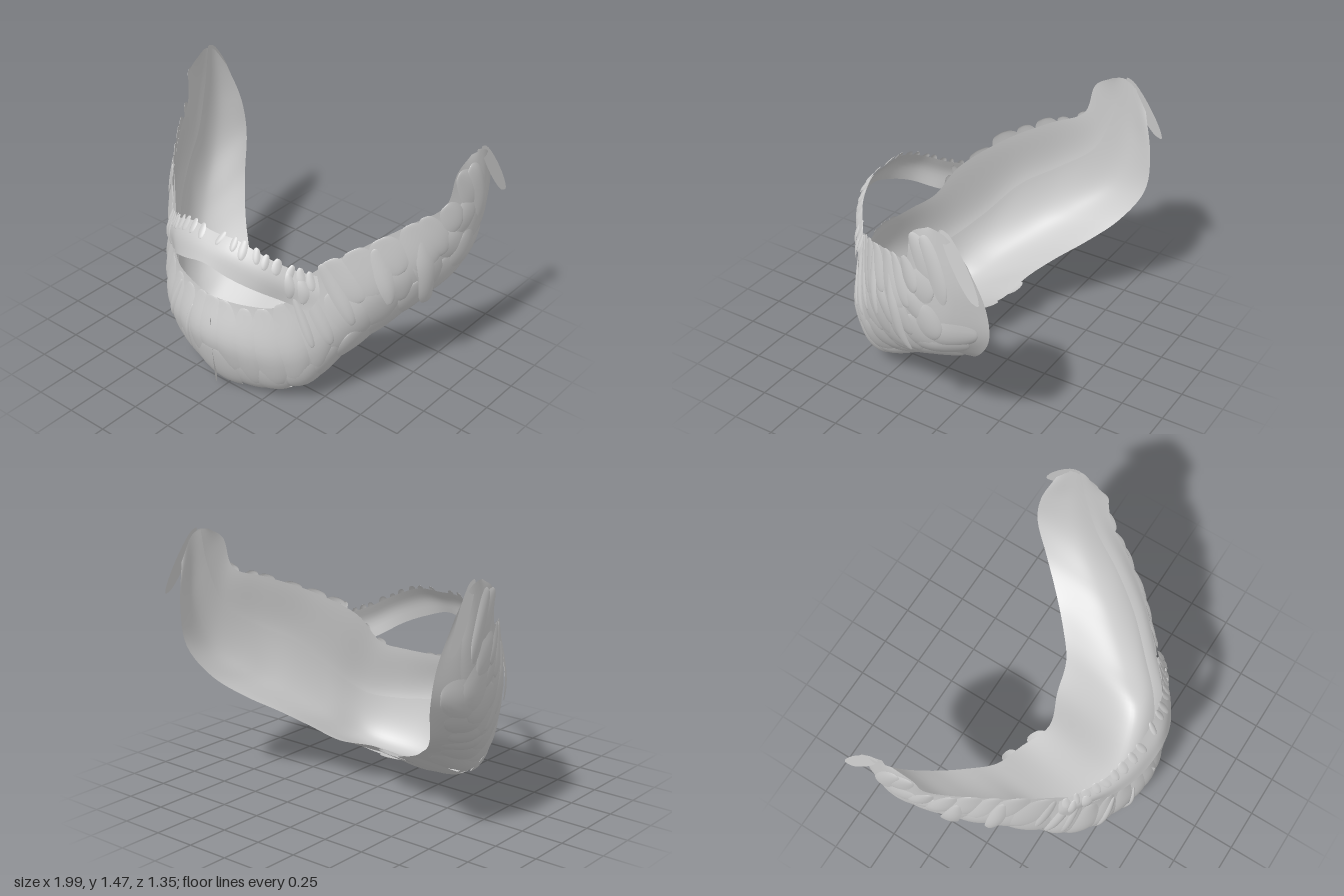
import * as THREE from 'three';

const V = (p) => new THREE.Vector3(...p);
const material = new THREE.MeshStandardMaterial({ color: 0xcccccc, side: THREE.DoubleSide });

let seed = 7;
const rand = (a, b) => {
  seed = (seed * 16807) % 2147483647;
  return a + (b - a) * (seed / 2147483647);
};

// Smooth symmetric surface from cross-sections along the +x half.
// t counts cross-sections (negative on the -x side), s runs from the top edge to the last edge.
function makeSurface(sections) {
  const n = sections.length - 1;
  const rows = sections[0].map((_, r) => {
    const half = sections.map((sec) => V(sec[r]));
    const mirrored = half.slice(1).reverse().map((p) => new THREE.Vector3(-p.x, p.y, p.z));
    return new THREE.CatmullRomCurve3([...mirrored, ...half], false, 'catmullrom', 0.5);
  });
  const point = (t, s) => {
    const u = THREE.MathUtils.clamp((t / n + 1) / 2, 0, 1);
    const cross = new THREE.CatmullRomCurve3(rows.map((c) => c.getPoint(u)), false, 'catmullrom', 0.5);
    const c = THREE.MathUtils.clamp(s, 0, 1);
    const p = cross.getPoint(c);
    if (c === s) return p;
    // continue straight past the edges
    const inner = cross.getPoint(c === 0 ? 0.03 : 0.97);
    return p.clone().addScaledVector(p.clone().sub(inner), Math.abs(s - c) / 0.03);
  };
  const normal = (t, s) => {
    const dt = point(t + 0.03, s).sub(point(t - 0.03, s));
    const ds = point(t, s + 0.02).sub(point(t, s - 0.02));
    return ds.cross(dt).normalize();
  };
  return { n, point, normal };
}

// Grid mesh from a function of a (across) and b (down), both 0..1
function gridMesh(name, na, nb, fn) {
  const pos = [], idx = [];
  for (let j = 0; j <= nb; j++)
    for (let i = 0; i <= na; i++) {
      const p = fn(i / na, j / nb);
      pos.push(p.x, p.y, p.z);
      if (i < na && j < nb) {
        const k = j * (na + 1) + i;
        idx.push(k, k + na + 1, k + 1, k + 1, k + na + 1, k + na + 2);
      }
    }
  const g = new THREE.BufferGeometry();
  g.setAttribute('position', new THREE.Float32BufferAttribute(pos, 3));
  g.setIndex(idx);
  g.computeVertexNormals();
  const m = new THREE.Mesh(g, material);
  m.name = name;
  return m;
}

// Card outline: rows crowd towards the ends so that these come out round
const easeRow = (b) => (1 - Math.cos(Math.PI * b)) / 2;
const cardWidth = (b) => 0.12 + 0.88 * Math.pow(Math.max(0, Math.sin(Math.PI * b)), 0.4);

// Rounded, slightly bulged hair card lying on a surface
function hairCard(name, surf, { t, s0, s1, w, lift = 0.01, slant = 0, flare = 0, bulge = 0.01 }) {
  return gridMesh(name, 6, 16, (a, row) => {
    const b = easeRow(row), round = cardWidth(b), side = a * 2 - 1;
    const tt = t + slant * b + side * w * 0.5 * round;
    const s = s0 + (s1 - s0) * b;
    const h = lift + bulge * (1 - side * side) * round + flare * b * b;
    return surf.point(tt, s).addScaledVector(surf.normal(tt, s), h);
  });
}

// Free hanging card between two points
function hangingCard(name, from, to, across) {
  return gridMesh(name, 4, 14, (a, row) => {
    const b = easeRow(row);
    return V(from).lerp(V(to), b).addScaledVector(V(across), (a - 0.5) * cardWidth(b));
  });
}

// Cross-sections: top edge, cheek, jaw line, neck edge
const beard = makeSurface([
  [[0, 0.65, 0.60], [0, 0.36, 0.64], [0, 0.03, 0.44], [0, 0.26, -0.03]],
  [[0.22, 0.66, 0.56], [0.27, 0.34, 0.575], [0.25, 0.05, 0.39], [0.2, 0.27, -0.1]],
  [[0.38, 0.70, 0.49], [0.47, 0.37, 0.46], [0.43, 0.12, 0.31], [0.38, 0.33, -0.15]],
  [[0.48, 0.88, 0.38], [0.61, 0.52, 0.30], [0.55, 0.28, 0.17], [0.52, 0.42, -0.26]],
  [[0.67, 1.03, 0.18], [0.745, 0.72, 0.12], [0.69, 0.45, 0.0], [0.66, 0.52, -0.40]],
  [[0.82, 1.13, -0.03], [0.865, 0.84, -0.08], [0.81, 0.59, -0.18], [0.78, 0.65, -0.54]],
  [[0.92, 1.20, -0.20], [0.945, 0.99, -0.28], [0.925, 0.79, -0.40], [0.86, 0.84, -0.65]],
  [[0.945, 1.38, -0.25], [0.97, 1.24, -0.38], [0.965, 1.10, -0.50], [0.90, 1.06, -0.65]],
  [[0.955, 1.455, -0.36], [0.97, 1.46, -0.42], [0.97, 1.43, -0.49], [0.95, 1.30, -0.58]],
]);

// Cross-sections: upper edge, middle, lip edge
const moustache = makeSurface([
  [[0, 1.05, 0.58], [0, 0.98, 0.64], [0, 0.905, 0.675]],
  [[0.15, 1.05, 0.565], [0.15, 0.97, 0.625], [0.15, 0.865, 0.655]],
  [[0.3, 0.99, 0.52], [0.3, 0.91, 0.57], [0.28, 0.81, 0.595]],
  [[0.42, 0.92, 0.44], [0.43, 0.83, 0.475], [0.4, 0.73, 0.485]],
  [[0.52, 0.88, 0.36], [0.55, 0.78, 0.38], [0.51, 0.68, 0.42]],
]);

// Plain sheet over a surface from s0 to s1, sunk by depth at its upper edge near the centre
function sheet(name, surf, na, nb, s0 = 0, s1 = 1, depth = 0) {
  return gridMesh(name, na, nb, (a, b) => {
    const t = (a * 2 - 1) * surf.n, s = s0 + (s1 - s0) * b;
    const sink = depth * (1 - 0.7 * Math.abs(t) / surf.n) * (1 - b);
    return surf.point(t, s).addScaledVector(surf.normal(t, s), -sink);
  });
}

// Overlapping row of cards from station a to station b
function cardRow(group, name, surf, side, { from, to, step, s0, s1, w, lift, slant = 0, bulge }) {
  for (let t = from; t <= to; t += step) {
    group.add(hairCard(name, surf, {
      t: side * (t + rand(-0.08, 0.08)),
      s0: s0 + rand(-0.025, 0.02), s1: s1 + rand(-0.06, 0.06),
      w: w * rand(0.8, 1.2), lift: lift + rand(0, 0.005), slant: side * (slant + rand(-0.12, 0.12)), bulge,
    }));
  }
}

export function createModel() {
  const model = new THREE.Group();
  model.name = 'fullBeard';
  model.add(
    sheet('beardShell', beard, 96, 28, 0, 0.74),
    sheet('neckSheet', beard, 96, 28, 0.33, 1, 0.06),
    sheet('moustacheShell', moustache, 48, 8),
  );

  const cards = new THREE.Group();
  cards.name = 'beardCards';
  const tufts = new THREE.Group();
  tufts.name = 'moustacheCards';
  model.add(cards, tufts);

  for (const side of [1, -1]) {
    // Neck rim, jaw, lower cheek and upper cheek layers
    cardRow(cards, 'rimCard', beard, side, { from: 2.6, to: 6.6, step: 0.7, s0: 0.58, s1: 0.88, w: 0.85, lift: 0.002, slant: 0.1 });
    cardRow(cards, 'jawCard', beard, side, { from: 0.5, to: 6.3, step: 0.7, s0: 0.4, s1: 0.7, w: 0.9, lift: 0.003, slant: 0.15 });
    cardRow(cards, 'cheekCard', beard, side, { from: 3.2, to: 6.6, step: 0.6, s0: 0.14, s1: 0.52, w: 0.7, lift: 0.006, slant: 0.35 });
    cardRow(cards, 'upperCheekCard', beard, side, { from: 3.4, to: 6.2, step: 0.5, s0: -0.03, s1: 0.3, w: 0.65, lift: 0.01, slant: 0.3 });
    cardRow(cards, 'chinCard', beard, side, { from: 0.3, to: 2.6, step: 0.55, s0: 0.0, s1: 0.5, w: 0.7, lift: 0.005 });
    cardRow(cards, 'mouthCornerStrand', beard, side, { from: 2.5, to: 3.5, step: 0.35, s0: 0.0, s1: 0.32, w: 0.25, lift: 0.012 });
    // Loose strands on cheek and sideburn
    cards.add(
      hairCard('looseCheekStrand', beard, { t: side * 5.1, s0: 0.1, s1: 0.64, w: 0.4, lift: 0.018, flare: 0.025 }),
      hairCard('looseCheekStrand', beard, { t: side * 4.2, s0: 0.03, s1: 0.4, w: 0.35, lift: 0.018, flare: 0.02 }),
      hairCard('sideburnCard', beard, { t: side * 7.0, s0: 0.0, s1: 0.42, w: 0.9, lift: 0.008 }),
      hairCard('sideburnCard', beard, { t: side * 7.45, s0: 0.1, s1: 0.62, w: 0.8, lift: 0.012, slant: -side * 0.5 }),
      hangingCard('sideburnStrand', [side * 0.965, 1.47, -0.46], [side * 0.996, 1.13, -0.65], [0, 0.04, 0.12]),
    );
    // Short tufts along the upper lip
    cardRow(tufts, 'lipTuft', moustache, side, { from: 0.5, to: 3.7, step: 0.4, s0: -0.1, s1: 0.36, w: 0.3, lift: 0.005, bulge: 0.006 });
    cardRow(tufts, 'lipEndTuft', moustache, side, { from: 2.9, to: 3.5, step: 0.4, s0: 0.15, s1: 0.8, w: 0.35, lift: 0.006, slant: 0.15, bulge: 0.006 });
  }

  // Centre of the chin
  cards.add(
    hairCard('chinCentreCard', beard, { t: 0, s0: 0.34, s1: 0.66, w: 1.0, lift: 0.012, flare: 0.015 }),
    hairCard('chinTopCard', beard, { t: 0, s0: -0.01, s1: 0.4, w: 0.8, lift: 0.01 }),
    hairCard('chinBlade', beard, { t: -0.55, s0: 0.12, s1: 0.45, w: 0.12, lift: 0.02, slant: -0.15 }),
    hangingCard('chinBlade', [0.02, 0.54, 0.655], [-0.01, 0.06, 0.59], [0.03, 0, 0.05]),
    hairCard('chinBlade', beard, { t: -1.2, s0: 0.04, s1: 0.36, w: 0.25, lift: 0.018, slant: -0.3 }),
  );

  // Scalloped neck edge on the right half
  for (const t of [-0.5, -1.5])
    cards.add(hairCard('neckCard', beard, { t, s0: 0.68, s1: 1.02, w: 1.0, lift: 0.004 }));
  return model;
}
